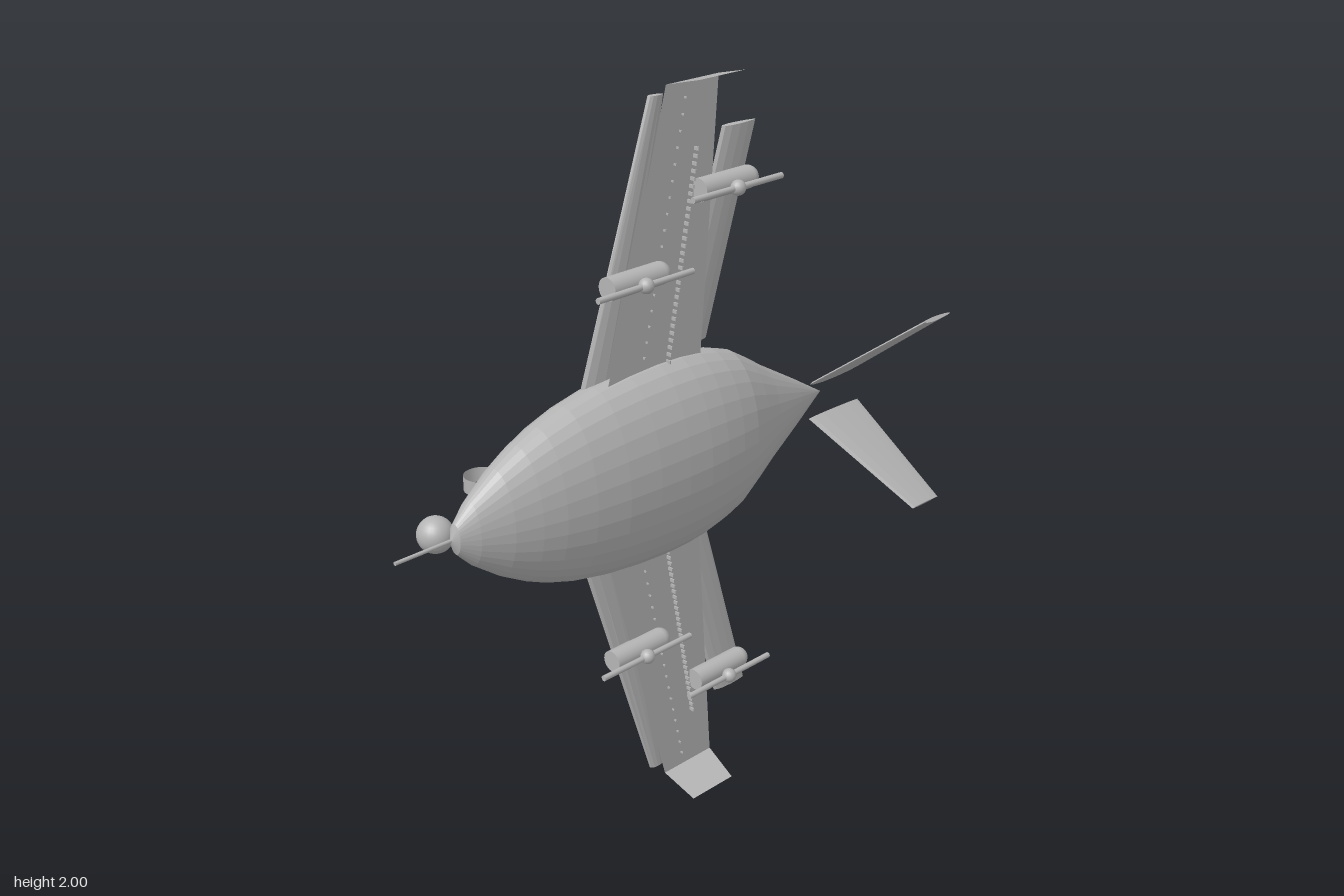
import * as THREE from 'three';

const grey = new THREE.MeshStandardMaterial({ color: 0xb4b4b4, side: THREE.DoubleSide });
grey.name = 'light grey';

const V = (x, y, z) => new THREE.Vector3(x, y, z);

function add(parent, name, geometry, x = 0, y = 0, z = 0) {
  const mesh = new THREE.Mesh(geometry, grey);
  mesh.name = name;
  mesh.position.set(x, y, z);
  parent.add(mesh);
  return mesh;
}

// Gives every face its own normal
function faceted(geometry) {
  const flat = geometry.toNonIndexed();
  flat.computeVertexNormals();
  return flat;
}

// Revolved profile of [x, radius] points around the x axis
function turned(profile, sides) {
  const pts = profile.map(([x, r]) => new THREE.Vector2(r, x));
  return new THREE.LatheGeometry(pts, sides).rotateZ(-Math.PI / 2);
}

// Flat quad through four corners
function plate(a, b, c, d) {
  const g = new THREE.BufferGeometry().setFromPoints([a, b, c, a, c, d]);
  g.computeVertexNormals();
  return g;
}

// Closed blade between a root chord and a tip chord, with an aerofoil section
function blade(rootLead, rootTrail, tipLead, tipTrail, rootThick, tipThick) {
  const steps = 6;
  const normal = rootTrail.clone().sub(rootLead).cross(tipLead.clone().sub(rootLead)).normalize();
  const ring = (lead, trail, thick) => {
    const pts = [];
    for (let i = 0; i < steps * 2; i++) {
      const a = (i / steps) * Math.PI;
      const u = (1 - Math.cos(a)) / 2;
      const h = Math.sin(a) * thick * 0.5 * (1.25 - 0.6 * u);
      pts.push(lead.clone().lerp(trail, u).addScaledVector(normal, h));
    }
    return pts;
  };
  const A = ring(rootLead, rootTrail, rootThick);
  const B = ring(tipLead, tipTrail, tipThick);
  const n = A.length;
  const tris = [];
  for (let i = 0; i < n; i++) {
    const j = (i + 1) % n;
    tris.push(A[i], B[j], A[j], A[i], B[i], B[j]);
    if (i > 0 && i < n - 1) tris.push(A[0], A[i], A[j], B[0], B[j], B[i]);
  }
  const g = new THREE.BufferGeometry().setFromPoints(tris);
  g.computeVertexNormals();
  return g;
}

// Pod with a rounded rear, and a rotor bar on a hub above it
function rotorPod(parent, name, x, y, z, hubZ) {
  const pod = new THREE.Group();
  pod.name = name;
  parent.add(pod);
  const r = 0.03, half = 0.101;
  const profile = [[-half, 0], [-half, r], [-half, r], [half - r, r]];
  for (let i = 1; i <= 6; i++) {
    const a = (i / 6) * Math.PI / 2;
    profile.push([half - r + Math.sin(a) * r, Math.cos(a) * r]);
  }
  add(pod, 'podBody', turned(profile, 20), x, y, z);
  add(pod, 'rotorHub', new THREE.SphereGeometry(0.02, 16, 12), x - 0.015, y, hubZ);
  add(pod, 'rotorBar', new THREE.CylinderGeometry(0.008, 0.008, 0.316, 10).rotateZ(Math.PI / 2), x - 0.015, y, hubZ);
}

// One side of the span; s is +1 or -1 along y from the body axis
function buildSide(parent, s) {
  const side = new THREE.Group();
  side.name = s > 0 ? 'upperSide' : 'lowerSide';
  parent.add(side);
  const P = (x, y, z) => V(x, 1 + s * y, z);

  // Main wing and tip plate
  const wz = -0.013;
  add(side, 'wing', plate(P(-0.185, 0.2, wz), P(0.148, 0.2, wz), P(0.206, 0.97, wz), P(0.027, 0.97, wz)));
  add(side, 'wingTip', plate(P(0.027, 0.97, wz), P(0.206, 0.97, wz), P(0.18, 1.0, 0.1), P(0.027, 1.0, 0.1)));

  // Leading slat and trailing flap
  add(side, 'slat', blade(P(-0.222, 0.24, -0.06), P(-0.09, 0.24, -0.045),
    P(-0.01, 0.945, -0.036), P(0.035, 0.945, -0.03), 0.024, 0.018));
  add(side, 'flap', blade(P(0.11, 0.265, -0.077), P(0.23, 0.265, -0.07),
    P(0.265, 0.82, -0.057), P(0.38, 0.82, -0.05), 0.022, 0.02));

  // Rows of small upright tabs on the wing
  for (let i = 0; i < 30; i++) {
    const t = i / 29;
    add(side, 'wingTab', new THREE.BoxGeometry(0.004, 0.009, 0.02), 0.03 + 0.095 * t, 1 + s * (0.27 + 0.53 * t), -0.008);
  }
  for (let i = 0; i < 17; i++) {
    const t = i / 16;
    add(side, 'smallTab', new THREE.BoxGeometry(0.003, 0.005, 0.008), -0.05 + 0.14 * t, 1 + s * (0.3 + 0.63 * t), -0.009);
  }

  // Rotor pods
  rotorPod(side, 'frontPod', -0.08, 1 + s * 0.515, 0, 0.046);
  rotorPod(side, 'rearPod', 0.223, 1 + s * 0.698, 0.005, 0.057);

  // Slanted tail fin
  add(side, 'tailFin', blade(P(0.575, 0.052, -0.003), P(0.783, 0.052, -0.003),
    P(0.704, 0.275, 0.277), P(0.815, 0.275, 0.277), 0.014, 0.012));
}

// Strut with an open wheel ring
function landingGear(parent, name, x, y, topZ) {
  const gear = new THREE.Group();
  gear.name = name;
  parent.add(gear);
  const z = -0.236;
  add(gear, 'strut', new THREE.CylinderGeometry(0.01, 0.01, topZ - z, 12).rotateX(Math.PI / 2), x, y, (topZ + z) / 2);
  add(gear, 'wheel', new THREE.CylinderGeometry(0.046, 0.046, 0.04, 20, 1, true), x, y, z);
}

export function createModel() {
  const model = new THREE.Group();
  model.name = 'aircraft';

  // Flattened streamlined body
  const profile = [[-0.66, 0], [-0.645, 0.04], [-0.6, 0.085], [-0.52, 0.143], [-0.45, 0.182], [-0.386, 0.21],
    [-0.3, 0.237], [-0.2, 0.257], [-0.1, 0.268], [0, 0.273], [0.08, 0.271], [0.143, 0.264], [0.21, 0.25],
    [0.275, 0.229], [0.34, 0.19], [0.407, 0.147], [0.54, 0.07], [0.655, 0]];
  add(model, 'body', faceted(turned(profile, 32).scale(1, 1, 0.525)), 0, 1, -0.034);

  // Nose ball and probe
  add(model, 'noseBall', new THREE.SphereGeometry(0.046, 24, 16), -0.662, 1, -0.087);
  add(model, 'noseProbe', new THREE.CylinderGeometry(0.005, 0.005, 0.18, 8).rotateZ(Math.PI / 2), -0.73, 1, -0.035);

  for (const s of [1, -1]) {
    buildSide(model, s);
    landingGear(model, s > 0 ? 'upperMainGear' : 'lowerMainGear', 0.085, 1 + s * 0.213, -0.1);
  }
  landingGear(model, 'noseGear', -0.4, 1, -0.13);
  return model;
}
